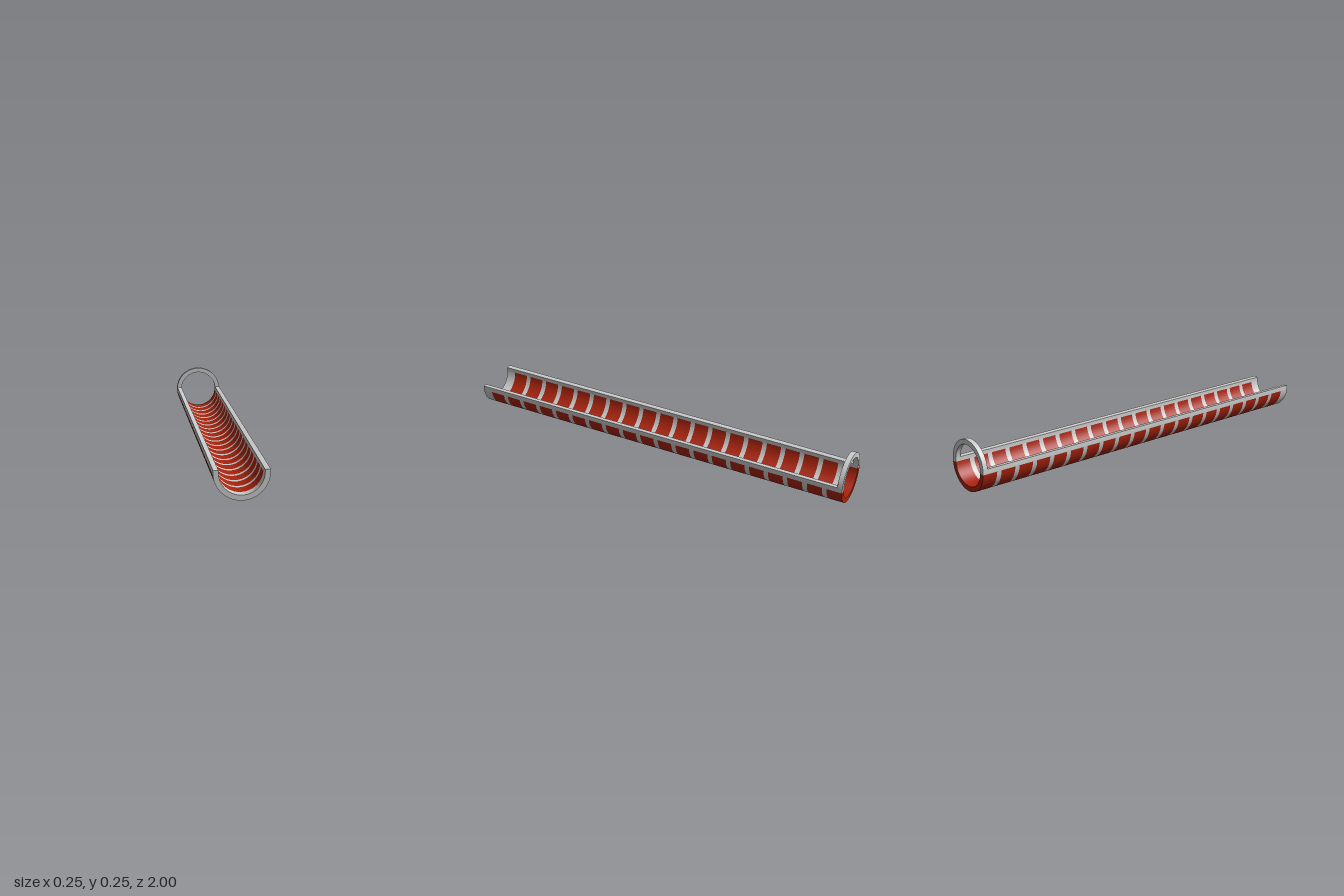
import * as THREE from 'three';
import { toCreasedNormals } from 'three/addons/utils/BufferGeometryUtils.js';

const OUTER = 0.123, INNER = 0.099;
const STEP = Math.PI / 32; // 64 facets around the full circle

// Thick arc from facet a to facet b (counted from +x), running from z0 to z1
function arcGeometry(a, b, z0, z1) {
  const shape = new THREE.Shape();
  for (let i = a; i <= b; i++) {
    const x = OUTER * Math.cos(i * STEP), y = OUTER * Math.sin(i * STEP);
    if (i === a) shape.moveTo(x, y); else shape.lineTo(x, y);
  }
  for (let i = b; i >= a; i--) shape.lineTo(INNER * Math.cos(i * STEP), INNER * Math.sin(i * STEP));
  shape.closePath();
  const geo = new THREE.ExtrudeGeometry(shape, { depth: z1 - z0, bevelEnabled: false });
  geo.translate(0, OUTER, z0);
  return toCreasedNormals(geo, 0.5);
}

export function createModel() {
  const group = new THREE.Group();
  group.name = 'halfPipe';
  const grey = new THREE.MeshStandardMaterial({ color: 0xcccccc });
  grey.name = 'light grey';
  const red = new THREE.MeshStandardMaterial({ color: 0xa9230d });
  red.name = 'dark red';

  const add = (name, material, a, b, z0, z1) => {
    const mesh = new THREE.Mesh(arcGeometry(a, b, z0, z1), material);
    mesh.name = name;
    group.add(mesh);
  };

  // Rims along both sides of the trough
  add('leftRim', grey, -1, 1, -1, 1);
  add('rightRim', grey, 31, 33, -1, 1);

  // Plain front end
  add('frontEnd', grey, 33, 63, 0.95, 1);

  // Red bands separated by narrow grey ribs
  const count = 20, rib = 0.0235, pitch = (1.95 + rib) / count;
  for (let i = 0; i < count; i++) {
    const front = 0.95 - i * pitch, back = front - pitch + rib;
    add('band' + (i + 1), red, 33, 63, back, front);
    if (i < count - 1) add('rib' + (i + 1), grey, 33, 63, back - rib, back);
  }

  // Hoop closing the circle at the back
  add('backHoop', grey, 1, 31, -1, -0.975);
  return group;
}
